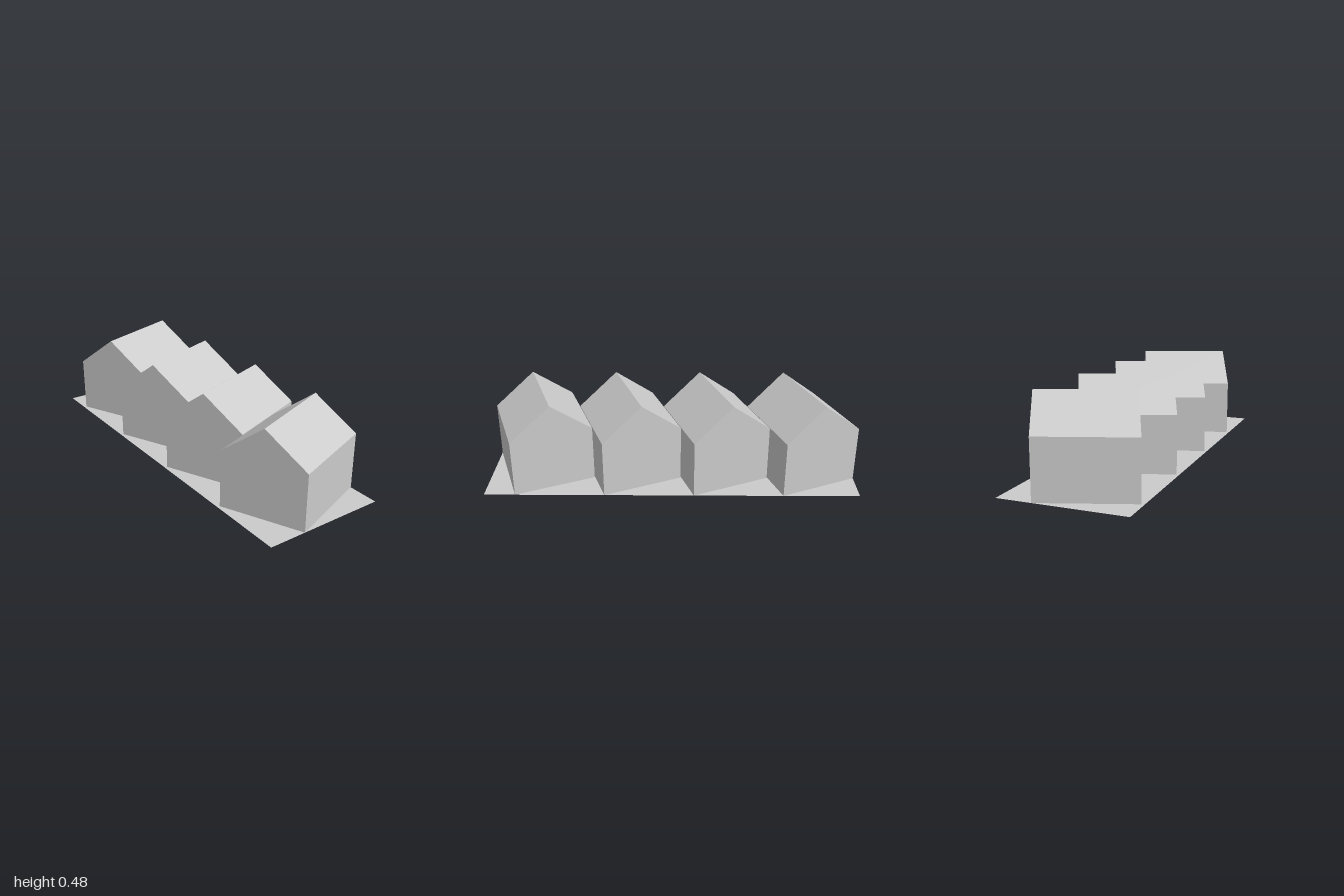
import * as THREE from 'three';

const HOUSES = 4;
const SPACING = 0.476;
const EAVE = 0.306;
const RIDGE = 0.476;

// Gabled house: unit profile extruded by one unit, then skewed onto its plot
function houseGeometry() {
  const profile = new THREE.Shape([
    new THREE.Vector2(-0.5, 0),
    new THREE.Vector2(0.5, 0),
    new THREE.Vector2(0.5, EAVE),
    new THREE.Vector2(0, RIDGE),
    new THREE.Vector2(-0.5, EAVE),
  ]);
  const geometry = new THREE.ExtrudeGeometry(profile, { depth: 1, bevelEnabled: false });
  geometry.translate(0, 0, -0.5);

  const across = new THREE.Vector3(0.406, 0, -0.187); // along the gable wall
  const up = new THREE.Vector3(0, 1, 0);
  const along = new THREE.Vector3(0.166, 0, 0.465); // along the ridge
  return geometry.applyMatrix4(new THREE.Matrix4().makeBasis(across, up, along));
}

export function createModel() {
  const model = new THREE.Group();
  model.name = 'rowOfHouses';
  const material = new THREE.MeshStandardMaterial({ color: 0xcccccc, flatShading: true });

  // Thin ground sheet
  const groundMaterial = material.clone();
  groundMaterial.side = THREE.DoubleSide;
  const plot = new THREE.Mesh(new THREE.PlaneGeometry(2, 0.666).rotateX(-Math.PI / 2), groundMaterial);
  plot.name = 'plot';
  model.add(plot);

  // Staggered houses in a row
  const geometry = houseGeometry();
  for (let i = 0; i < HOUSES; i++) {
    const house = new THREE.Mesh(geometry, material);
    house.name = `house${i + 1}`;
    house.position.set((i - (HOUSES - 1) / 2) * SPACING, 0, -0.0075);
    model.add(house);
  }
  return model;
}
